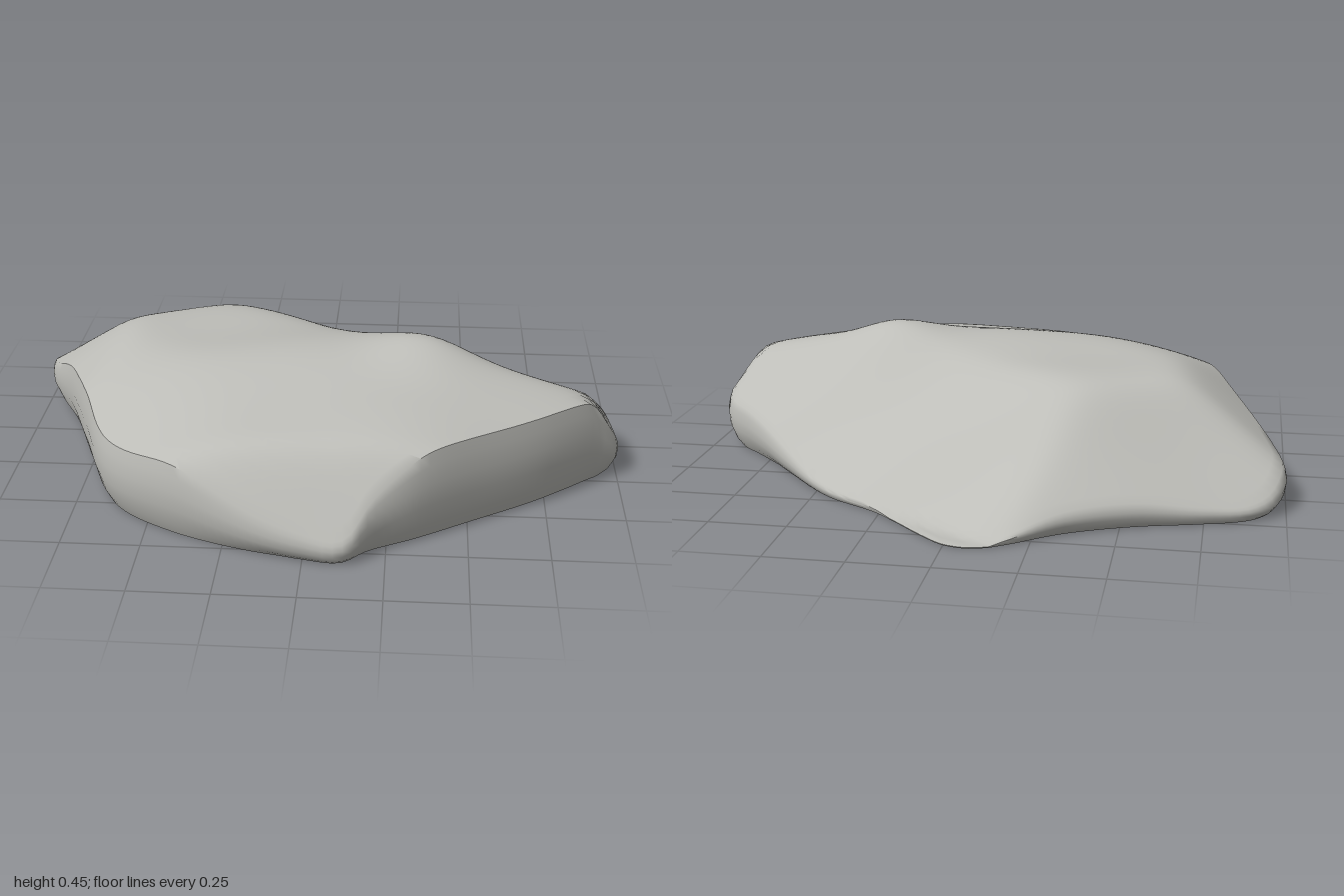
import * as THREE from 'three';
import { toCreasedNormals } from 'three/addons/utils/BufferGeometryUtils.js';

// Widest outline of the boulder seen from above, as x, z pairs
const OUTLINE = [
  [-0.08, -0.84], [0, -0.825], [0.07, -0.77], [0.25, -0.6], [0.45, -0.475], [0.65, -0.275],
  [0.85, -0.07], [0.94, 0.02], [0.97, 0.1], [1, 0.2], [0.93, 0.27], [0.75, 0.42],
  [0.53, 0.57], [0.35, 0.69], [0.21, 0.77], [0.13, 0.835], [0, 0.83], [-0.2, 0.79],
  [-0.45, 0.69], [-0.64, 0.55], [-0.75, 0.31], [-0.87, 0], [-0.97, -0.2], [-1, -0.3],
  [-0.97, -0.41], [-0.9, -0.475], [-0.76, -0.53], [-0.56, -0.595], [-0.35, -0.69], [-0.18, -0.8],
];

// Weathered planes that cut the upper surface: y = a + b x + c z
const PLANES = [
  [0.405, 0.02, 0.1],       // plateau
  [0.795, 0.38, 0.874],     // back left slope
  [0.47, -0.328, 0.63],     // back right slope
  [0.475, 0, -0.23],        // front slope
  [0.855, 0.72, 0],         // left shoulder
  [0.578, 0.25, -0.3],      // front left slope
  [0.58, -0.221, -0.258],   // front right slope
  [0.56, -0.25, 0],         // right shoulder
  [1.9, -1.78, 0],          // right tip
  [1.29, 0, -1.45],         // front nose
];

// Smooth minimum of the planes, with a low peak and gentle surface waves
function topHeight(x, z) {
  const k = 0.022;
  let sum = 0;
  for (const [a, b, c] of PLANES) sum += Math.exp(-(a + b * x + c * z) / k);
  const peak = 0.045 * Math.exp(-((x - 0.36) ** 2 + (z - 0.13) ** 2) / 0.03);
  const wave = 0.006 * Math.sin(7 * x + 3 * z + 1) * Math.sin(9 * z - 2 * x)
    + 0.003 * Math.sin(13 * z + 4 * x);
  return Math.max(0.006, -k * Math.log(sum) + peak + wave);
}

function boulderGeometry() {
  const curve = new THREE.CatmullRomCurve3(
    OUTLINE.map(([x, z]) => new THREE.Vector3(x, 0, z)), true, 'centripetal');
  const around = 180, topRings = 30, rim = 0.985;
  const edge = curve.getSpacedPoints(around).slice(0, around);

  // Rings run from the top centre to the rim, down the undercut wall and under the base
  const rings = [];
  for (let i = 0; i <= topRings; i++) {
    const s = rim * i / topRings;
    rings.push(edge.map((p) => [p.x * s, topHeight(p.x * s, p.z * s), p.z * s]));
  }
  const wall = [[0.994, 0.86], [1, 0.66], [0.996, 0.42], [0.975, 0.16], [0.95, 0]];
  for (const [s, f] of wall) {
    rings.push(edge.map((p) => {
      const h = topHeight(p.x * rim, p.z * rim);
      const inset = f < 0.5 ? 1 - (1 - s) * Math.min(1, h / 0.12) : s;
      return [p.x * inset, h * f, p.z * inset];
    }));
  }
  rings.push(edge.map(() => [0, 0, 0]));

  const index = [];
  const last = rings.length - 2;
  for (let i = 0; i <= last; i++) {
    for (let j = 0; j < around; j++) {
      const n = (j + 1) % around;
      const a = i * around + j, b = i * around + n;
      const c = a + around, d = b + around;
      if (i > 0) index.push(a, b, c);
      if (i < last) index.push(b, d, c);
    }
  }
  const geometry = new THREE.BufferGeometry();
  geometry.setAttribute('position', new THREE.Float32BufferAttribute(rings.flat(2), 3));
  geometry.setIndex(index);
  return toCreasedNormals(geometry, 0.75);
}

export function createModel() {
  const stone = new THREE.MeshStandardMaterial({ color: 0xbdbdb8 });
  stone.name = 'grey stone';

  const boulder = new THREE.Mesh(boulderGeometry(), stone);
  boulder.name = 'boulder';

  const group = new THREE.Group();
  group.name = 'flatRock';
  group.add(boulder);
  return group;
}
